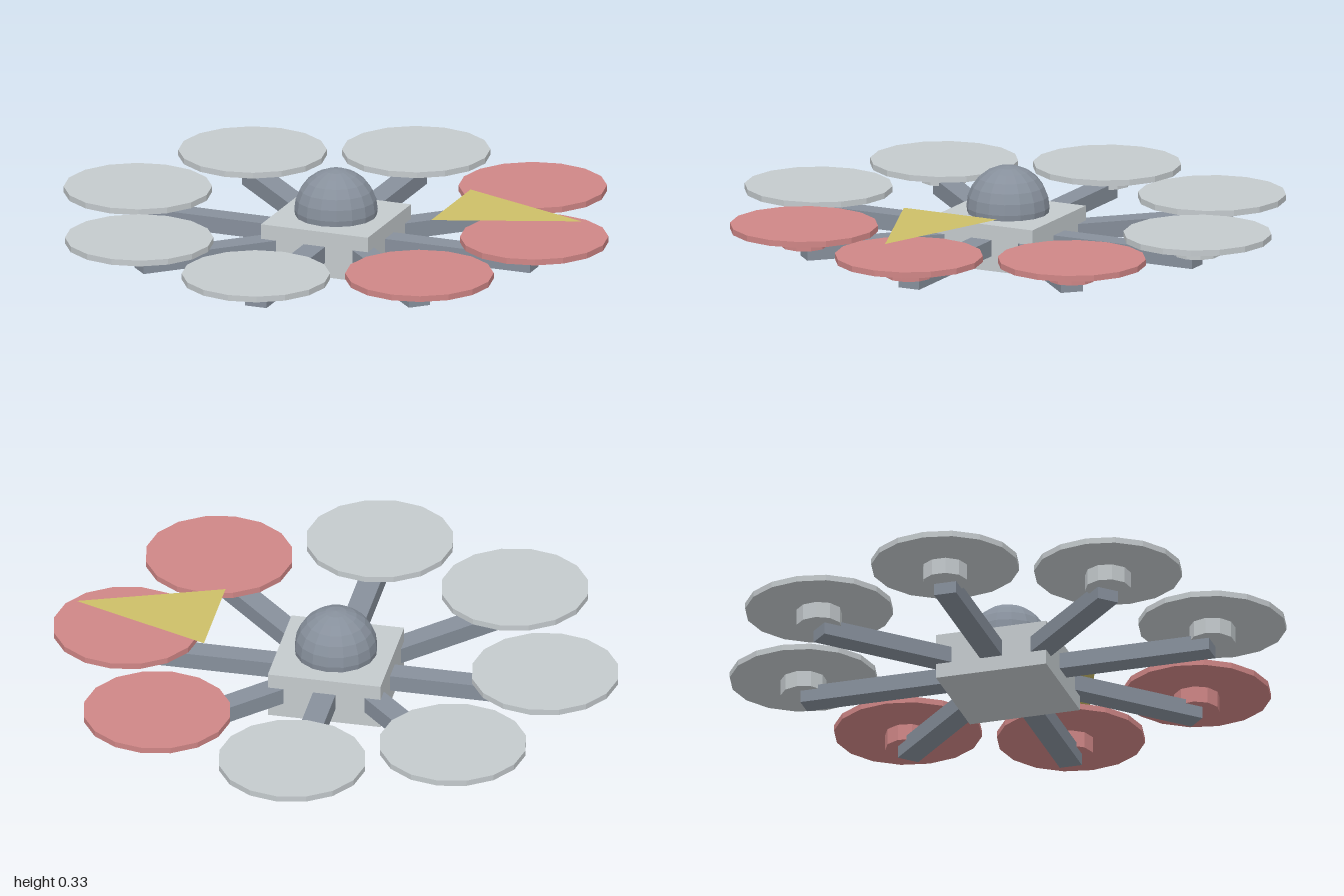
import * as THREE from 'three';

const material = (name, color, extra = {}) => {
  const m = new THREE.MeshStandardMaterial({ color, flatShading: true, ...extra });
  m.name = name;
  return m;
};

export function createModel() {
  const lightGrey = material('light grey', 0xc4cacd);
  const slate = material('slate grey', 0x87909c);
  const red = material('soft red', 0xcf8686);
  const yellow = material('yellow', 0xcdbf68, { side: THREE.DoubleSide });

  const model = new THREE.Group();
  model.name = 'octocopter';

  const add = (parent, name, geometry, mat, x, y, z) => {
    const mesh = new THREE.Mesh(geometry, mat);
    mesh.name = name;
    mesh.position.set(x, y, z);
    parent.add(mesh);
    return mesh;
  };

  // Central body and dome
  const bodyHeight = 0.164;
  add(model, 'body', new THREE.BoxGeometry(0.4, bodyHeight, 0.4), lightGrey, 0, bodyHeight / 2, 0);
  add(model, 'dome', new THREE.SphereGeometry(0.145, 16, 12), slate, 0, 0.184, 0);

  // Eight arms, each with a motor and a rotor disc; the three on the +x side are red
  const reach = 0.742;
  const armGeometry = new THREE.BoxGeometry(reach, 0.058, 0.08);
  const motorGeometry = new THREE.CylinderGeometry(0.08, 0.08, 0.06, 10);
  const rotorGeometry = new THREE.CylinderGeometry(0.258, 0.258, 0.021, 16);
  for (let i = 0; i < 8; i++) {
    const unit = new THREE.Group();
    unit.name = `rotorArm${i + 1}`;
    unit.rotation.y = (i * Math.PI) / 4;
    const paint = i === 0 || i === 1 || i === 7 ? red : lightGrey;
    add(unit, 'arm', armGeometry, slate, reach / 2, 0.082, 0);
    add(unit, 'motor', motorGeometry, paint, reach, 0.126, 0);
    add(unit, 'rotor', rotorGeometry, paint, reach, 0.1645, 0);
    model.add(unit);
  }

  // Flat heading arrow floating above the +x arm
  const arrow = new THREE.Shape([
    new THREE.Vector2(0.43, -0.183),
    new THREE.Vector2(0.92, 0),
    new THREE.Vector2(0.43, 0.183),
  ]);
  const pointer = add(model, 'headingArrow', new THREE.ShapeGeometry(arrow), yellow, 0, 0.252, 0);
  pointer.rotation.x = -Math.PI / 2;

  return model;
}
